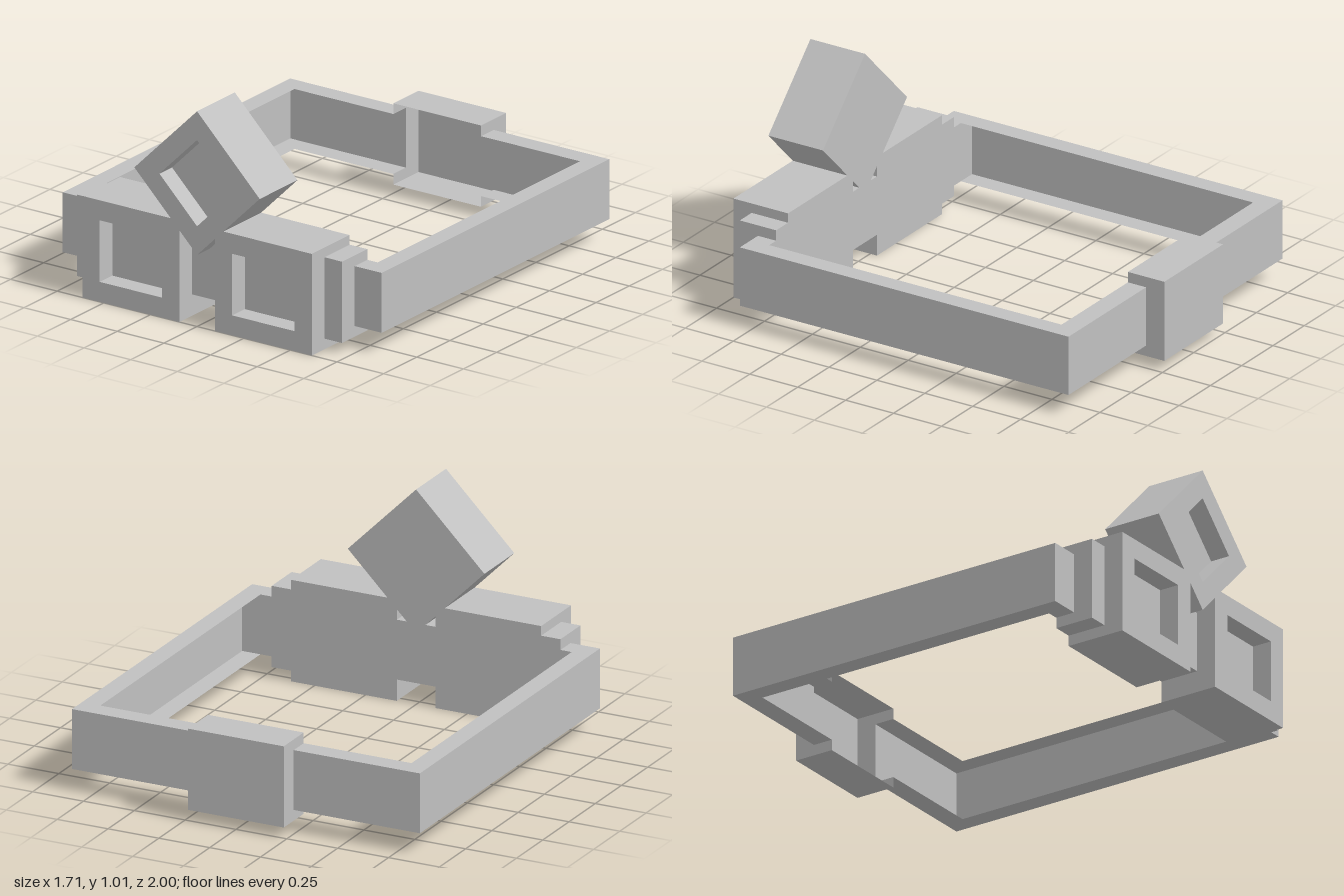
import * as THREE from 'three';

const grey = new THREE.MeshStandardMaterial({ color: 0xc0c0c0, side: THREE.DoubleSide });
grey.name = 'grey';

const FACES = ['px', 'nx', 'py', 'ny', 'pz', 'nz'];

// Box given by its ranges on each axis, optionally left open on some faces
function box(name, [x0, x1], [y0, y1], [z0, z1], open = []) {
  const geo = new THREE.BoxGeometry(x1 - x0, y1 - y0, z1 - z0);
  const old = Array.from(geo.index.array);
  const kept = FACES.flatMap((f, i) => (open.includes(f) ? [] : old.slice(i * 6, i * 6 + 6)));
  geo.setIndex(kept);
  geo.clearGroups();
  geo.translate((x0 + x1) / 2, (y0 + y1) / 2, (z0 + z1) / 2);
  const mesh = new THREE.Mesh(geo, grey);
  mesh.name = name;
  return mesh;
}

function rectangle(target, w, h) {
  target.moveTo(-w / 2, -h / 2);
  target.lineTo(w / 2, -h / 2);
  target.lineTo(w / 2, h / 2);
  target.lineTo(-w / 2, h / 2);
  target.closePath();
  return target;
}

// Solid housing with a rectangular recess in its front
function recessedBlock(name, w, h, rim) {
  const group = new THREE.Group();
  group.name = name;
  const shape = rectangle(new THREE.Shape(), w, h);
  shape.holes.push(rectangle(new THREE.Path(), w - 2 * rim, h - 2 * rim));
  const frame = new THREE.Mesh(
    new THREE.ExtrudeGeometry(shape, { depth: 0.095, bevelEnabled: false }), grey);
  frame.name = name + 'Rim';
  frame.position.z = 0.905;
  group.add(frame, box(name + 'Body', [-w / 2, w / 2], [-h / 2, h / 2], [0.715, 0.905]));
  return group;
}

export function createModel() {
  const model = new THREE.Group();
  model.name = 'headband';
  const bandY = [0.1, 0.38], stepY = [0.05, 0.43];

  for (const s of [1, -1]) {
    const side = s > 0 ? 'left' : 'right';
    const span = (a, b) => (s > 0 ? [a, b] : [-b, -a]);
    const inner = s > 0 ? 'nx' : 'px';

    // Band: channels open towards the inside, joined at the back corner
    model.add(box(side + 'Band', span(0.765, 0.855), bandY, [-0.81, 0.715], [inner, 'nz', 'pz']));
    model.add(box(side + 'BackBand', span(0.235, 0.855), bandY, [-0.905, -0.81], [inner, 'pz']));
    model.add(box(side + 'BandEnd', span(0.71, 0.855), bandY, [0.715, 0.81]));

    // Stepped hinge and front housing
    model.add(box(side + 'Hinge', span(0.615, 0.71), stepY, [0.715, 0.905]));
    const lens = recessedBlock(side + 'Housing', 0.52, 0.475, 0.0935);
    lens.position.set(s * 0.355, 0.2375, 0);
    model.add(lens);

    // Clasp side wall, cut out where the band enters
    const wall = new THREE.Shape([
      [1, 0.05], [0.81, 0.05], [0.81, 0.1], [0.905, 0.1],
      [0.905, 0.38], [0.81, 0.38], [0.81, 0.43], [1, 0.43],
    ].map(([x, y]) => new THREE.Vector2(x, y)));
    const claspSide = new THREE.Mesh(new THREE.ShapeGeometry(wall).rotateY(Math.PI / 2), grey);
    claspSide.name = side + 'ClaspSide';
    claspSide.position.x = s * 0.235;
    model.add(claspSide);
  }

  // Back clasp shell, open towards the inside
  model.add(box('backClasp', [-0.235, 0.235], stepY, [-1, -0.81], ['px', 'nx', 'pz']));

  // Bridge and raised diamond
  model.add(box('bridge', [-0.095, 0.095], bandY, [0.715, 0.905]));
  const diamond = recessedBlock('diamond', 0.475, 0.475, 0.095);
  diamond.position.y = 0.67;
  diamond.rotation.z = Math.PI / 4;
  model.add(diamond);

  return model;
}
